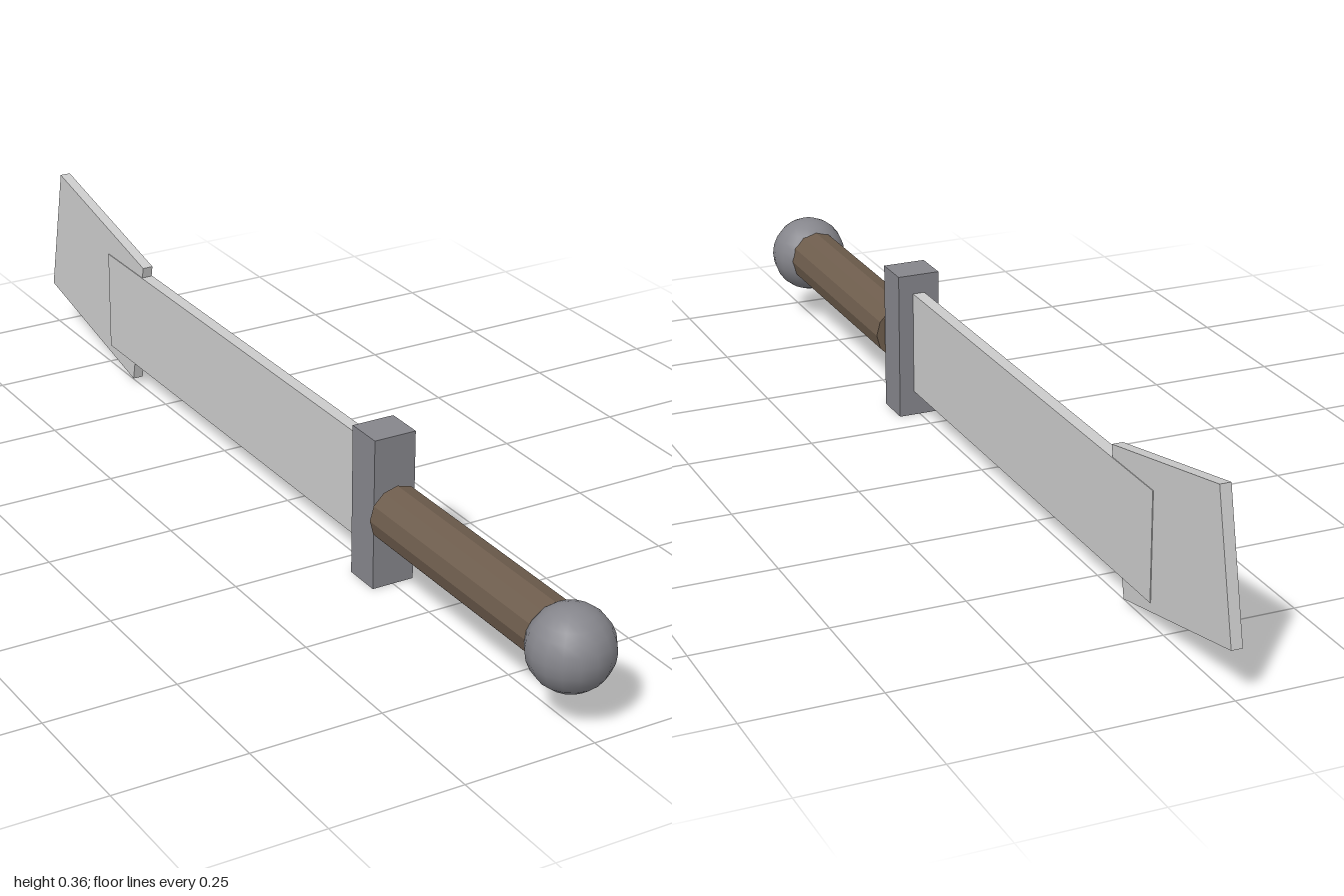
import * as THREE from 'three';

const mat = (color, flatShading = true) => new THREE.MeshStandardMaterial({ color, flatShading });

export function createModel() {
  const group = new THREE.Group();
  const steel = mat(0xcccccc);
  const add = (name, geometry, material, y, z, tilt = 0) => {
    const mesh = new THREE.Mesh(geometry, material);
    mesh.name = name;
    mesh.position.set(0, y, z);
    mesh.rotation.x = tilt;
    group.add(mesh);
    return mesh;
  };

  // Round pommel at the end of the grip
  add('pommel', new THREE.SphereGeometry(0.077, 16, 12), mat(0x86868c, false), 0.14, 0.923);

  // Wooden grip lying along z, with a hairline gap before the guard
  add('grip', new THREE.CylinderGeometry(0.056, 0.056, 0.521, 12), mat(0x6e5d4d), 0.144, 0.6495, Math.PI / 2);

  // Upright cross guard
  add('guard', new THREE.BoxGeometry(0.084, 0.293, 0.075), mat(0x86868c), 0.1465, 0.342);

  // Straight main blade
  add('blade', new THREE.BoxGeometry(0.024, 0.205, 1.03), steel, 0.152, -0.207);

  // Wider, slightly thinner tip, swept upwards
  add('bladeTip', new THREE.BoxGeometry(0.021, 0.271, 0.385), steel, 0.184, -0.783, 0.208);

  return group;
}
